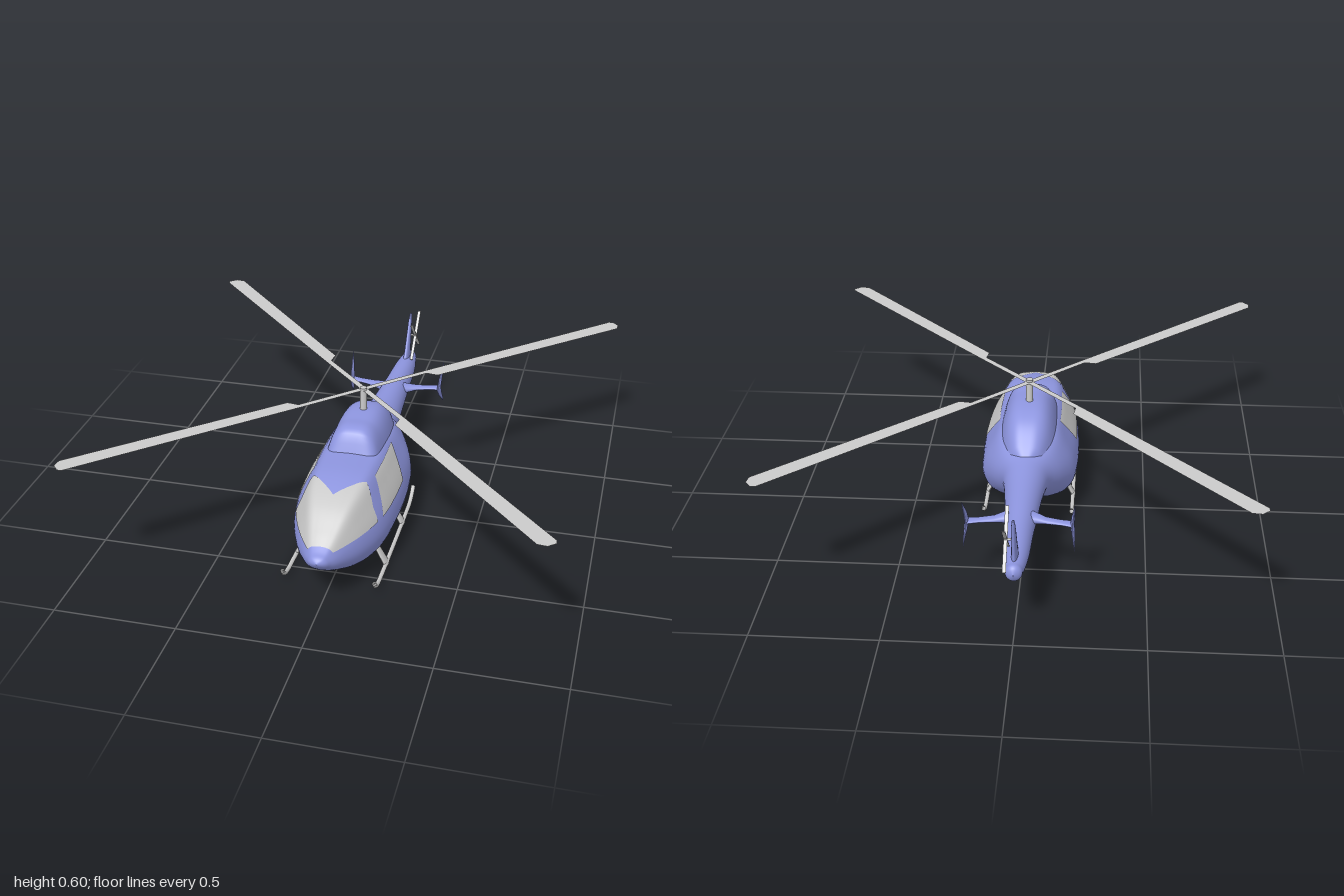
import * as THREE from 'three';

const blue = new THREE.MeshStandardMaterial({ color: 0x8e96e0 });
const blueThin = new THREE.MeshStandardMaterial({ color: 0x8e96e0, side: THREE.DoubleSide });
const grey = new THREE.MeshStandardMaterial({ color: 0xcccccc, side: THREE.DoubleSide });

// Fuselage stations: z, half width, bottom, top, squareness of section
const stations = [
  [-0.965, 0.0, 0.285, 0.29, 0], [-0.955, 0.022, 0.262, 0.312, 0], [-0.92, 0.034, 0.245, 0.32, 0],
  [-0.61, 0.06, 0.21, 0.34, 0], [-0.32, 0.084, 0.19, 0.357, 0], [-0.23, 0.102, 0.168, 0.368, 0.1],
  [-0.15, 0.152, 0.125, 0.39, 0.4], [-0.06, 0.193, 0.072, 0.405, 0.8], [0.05, 0.205, 0.046, 0.41, 1],
  [0.25, 0.206, 0.044, 0.41, 1], [0.43, 0.188, 0.05, 0.403, 1], [0.57, 0.142, 0.082, 0.362, 1],
  [0.67, 0.093, 0.13, 0.303, 0.8], [0.74, 0.05, 0.178, 0.257, 0.5], [0.772, 0.022, 0.212, 0.24, 0.2],
  [0.78, 0.0, 0.226, 0.228, 0],
];
const spline = (rows) =>
  new THREE.CubicInterpolant(rows.map((r) => r[0]), rows.flatMap((r) => r.slice(1)), rows[0].length - 1);
const hull = spline(stations);

// Cabin section from keel to roof: share of half width, share of height
const section = spline([
  [0, 0, 0], [0.125, 0.5, 0.03], [0.25, 0.85, 0.13], [0.375, 1, 0.33], [0.5, 0.95, 0.55],
  [0.625, 0.77, 0.77], [0.75, 0.56, 0.95], [0.875, 0.3, 0.99], [1, 0, 1],
]);

// Point on the hull at z; t runs 0 (keel) to 1 (roof), s picks the side
function hullPoint(z, t, s) {
  const [w, bottom, top, k] = hull.evaluate(z);
  const [sx, sy] = section.evaluate(t);
  const x = THREE.MathUtils.lerp(Math.sin(t * Math.PI), sx, k);
  const y = THREE.MathUtils.lerp((1 - Math.cos(t * Math.PI)) / 2, sy, k);
  return [s * Math.max(w, 0) * x, bottom + (top - bottom) * y, z];
}

// Value of t where the hull reaches height y
function tAtHeight(z, y) {
  let lo = 0, hi = 1;
  for (let i = 0; i < 24; i++) {
    const mid = (lo + hi) / 2;
    if (hullPoint(z, mid, 1)[1] < y) lo = mid; else hi = mid;
  }
  return lo;
}

// Skin over rows of points
function skin(rows, closed, offset = 0) {
  const n = rows[0].length, index = [];
  for (let i = 0; i < rows.length - 1; i++) {
    for (let j = 0; j < (closed ? n : n - 1); j++) {
      const k = (j + 1) % n, a = i * n, b = a + n;
      index.push(a + j, a + k, b + k, a + j, b + k, b + j);
    }
  }
  const g = new THREE.BufferGeometry();
  g.setAttribute('position', new THREE.Float32BufferAttribute(rows.flat(2), 3));
  g.setIndex(index);
  g.computeVertexNormals();
  const p = g.attributes.position, nrm = g.attributes.normal;
  for (let i = 0; offset && i < p.count; i++) {
    p.setXYZ(i, p.getX(i) + nrm.getX(i) * offset, p.getY(i) + nrm.getY(i) * offset, p.getZ(i) + nrm.getZ(i) * offset);
  }
  return g;
}
const range = (n, fn) => Array.from({ length: n + 1 }, (_, i) => fn(i / n));

// Streamlined blade through stations [x, y, zFront, zBack, half thickness]
function foil(list, upright) {
  return skin(list.map(([x, y, zf, zb, th]) => range(23, (u) => {
    const a = u * (23 / 24) * Math.PI * 2, d = th * Math.sin(a);
    return [x + (upright ? d : 0), y + (upright ? 0 : d), (zf + zb) / 2 + ((zf - zb) / 2) * Math.cos(a)];
  })), true);
}

export function createModel() {
  const model = new THREE.Group();
  const add = (name, geometry, material, parent = model) => {
    const mesh = new THREE.Mesh(geometry, material);
    mesh.name = name;
    parent.add(mesh);
    return mesh;
  };

  // Fuselage and tail boom
  add('fuselage', skin(range(100, (u) => {
    const z = -0.0925 - 0.8725 * Math.cos(u * Math.PI);
    return range(63, (v) => {
      const t = v * (63 / 64) * 2;
      return t <= 1 ? hullPoint(z, t, 1) : hullPoint(z, 2 - t, -1);
    });
  }), true), blue);

  // Engine cowling: z, half width, top
  const cowl = spline([
    [-0.26, 0.012, 0.335], [-0.2, 0.06, 0.4], [-0.13, 0.092, 0.46], [-0.07, 0.106, 0.488], [0, 0.112, 0.5],
    [0.1, 0.112, 0.499], [0.19, 0.108, 0.492], [0.21, 0.106, 0.475], [0.245, 0.1, 0.4],
  ]);
  add('engineCowling', skin(range(50, (u) => {
    const z = -0.26 + 0.505 * u, [w, top] = cowl.evaluate(z), base = Math.min(0.36, top - 0.04);
    return range(32, (v) => {
      const a = v * Math.PI, c = Math.cos(a), s = Math.sin(a);
      const h = Math.pow(s, 0.55);
      return [w * Math.sign(c) * Math.pow(Math.abs(c), 0.6) * (1.08 - 0.3 * h), base + (top - base) * h, z];
    });
  }), false), blueThin);

  // Windscreen wrapping over the nose
  const backEdge = new THREE.LinearInterpolant([0, 0.5, 0.8, 1], [0.52, 0.41, 0.46, 0.47], 1);
  add('windscreen', skin(range(24, (v) => range(40, (u) => {
    const side = 1 - 2 * u, w = Math.abs(side);
    const z = THREE.MathUtils.lerp(backEdge.evaluate(w)[0], 0.72, v);
    return hullPoint(z, THREE.MathUtils.lerp(1, tAtHeight(z, 0.25), w), Math.sign(side) || 1);
  })), false, 0.003), grey);

  // Side windows
  for (const s of [1, -1]) {
    add(s > 0 ? 'leftWindow' : 'rightWindow', skin(range(20, (v) => range(16, (u) => {
      const h = s > 0 ? u : 1 - u;
      const z = THREE.MathUtils.lerp(0.14 - 0.08 * h, 0.43 - 0.09 * h, v);
      return hullPoint(z, tAtHeight(z, 0.25 + 0.13 * h), s);
    })), false, 0.003), grey);
  }

  // Tail fin
  add('tailFin', foil([
    [0, 0.27, -0.77, -0.92, 0.016], [0, 0.32, -0.81, -0.92, 0.014], [0, 0.36, -0.845, -0.923, 0.012],
    [0, 0.48, -0.915, -0.947, 0.008], [0, 0.51, -0.935, -0.952, 0.005], [0, 0.514, -0.943, -0.948, 0],
  ], true), blueThin);

  for (const s of [1, -1]) {
    const side = s > 0 ? 'left' : 'right';
    // Stabiliser with swept end plate
    add(side + 'Stabiliser', foil([
      [0.03 * s, 0.3, -0.535, -0.625, 0.025], [0.06 * s, 0.3, -0.555, -0.615, 0.02],
      [0.1 * s, 0.3, -0.58, -0.622, 0.011], [0.16 * s, 0.3, -0.595, -0.632, 0.008],
      [0.206 * s, 0.3, -0.6, -0.645, 0.008],
    ], false), blueThin);
    add(side + 'EndPlate', foil([
      [0.215 * s, 0.21, -0.672, -0.678, 0], [0.213 * s, 0.235, -0.645, -0.668, 0.004],
      [0.208 * s, 0.27, -0.605, -0.652, 0.007], [0.205 * s, 0.3, -0.588, -0.645, 0.008],
      [0.208 * s, 0.34, -0.612, -0.65, 0.007], [0.213 * s, 0.385, -0.65, -0.667, 0.004],
      [0.215 * s, 0.415, -0.672, -0.678, 0],
    ], true), blueThin);

    // Landing skid and its struts
    const path = new THREE.CatmullRomCurve3([
      [0.615, 0.055], [0.595, 0.03], [0.55, 0.014], [0.48, 0.01], [0, 0.01], [-0.06, 0.014], [-0.11, 0.034], [-0.137, 0.057],
    ].map(([z, y]) => new THREE.Vector3(0.188 * s, y, z)));
    add(side + 'Skid', new THREE.TubeGeometry(path, 60, 0.0095, 10), grey);
    for (const [name, z] of [['Front', 0.4], ['Rear', 0.09]]) {
      add(side + name + 'Strut', foil([
        [0.19 * s, 0.006, z + 0.027, z - 0.027, 0.009], [0.14 * s, 0.1, z + 0.019, z - 0.019, 0.009],
      ], true), grey);
    }
  }

  // Main rotor: mast and four flat blades
  const rotor = new THREE.Group();
  rotor.name = 'mainRotor';
  rotor.position.set(0, 0.59, 0.01);
  model.add(rotor);
  add('mast', new THREE.CylinderGeometry(0.015, 0.015, 0.14, 20), grey, rotor).position.set(0, -0.06, 0.008);
  const outline = new THREE.Shape([
    [0, -0.013], [0.3, -0.012], [1.3, 0], [1.315, 0.012], [1.313, 0.05], [1.285, 0.074], [0.33, 0.052], [0.3, 0.013], [0, 0.013],
  ].map(([r, c]) => new THREE.Vector2(r, c)));
  for (let i = 0; i < 4; i++) {
    const blade = new THREE.ShapeGeometry(outline);
    blade.rotateX(Math.PI / 2);
    blade.rotateY(THREE.MathUtils.degToRad(44 + i * 90));
    add('rotorBlade', blade, grey, rotor);
  }

  // Tail rotor beside the fin
  const tail = new THREE.Group();
  tail.name = 'tailRotor';
  tail.position.set(0.03, 0.415, -0.915);
  model.add(tail);
  const shaft = add('tailRotorShaft', new THREE.CylinderGeometry(0.005, 0.005, 0.035, 10), grey, tail);
  shaft.rotation.z = Math.PI / 2;
  shaft.position.x = -0.012;
  for (const a of [1, -1]) {
    add('tailRotorBlade', new THREE.BoxGeometry(0.014, 0.25, 0.003), grey, tail).rotation.x = a * Math.PI / 4;
  }
  return model;
}
